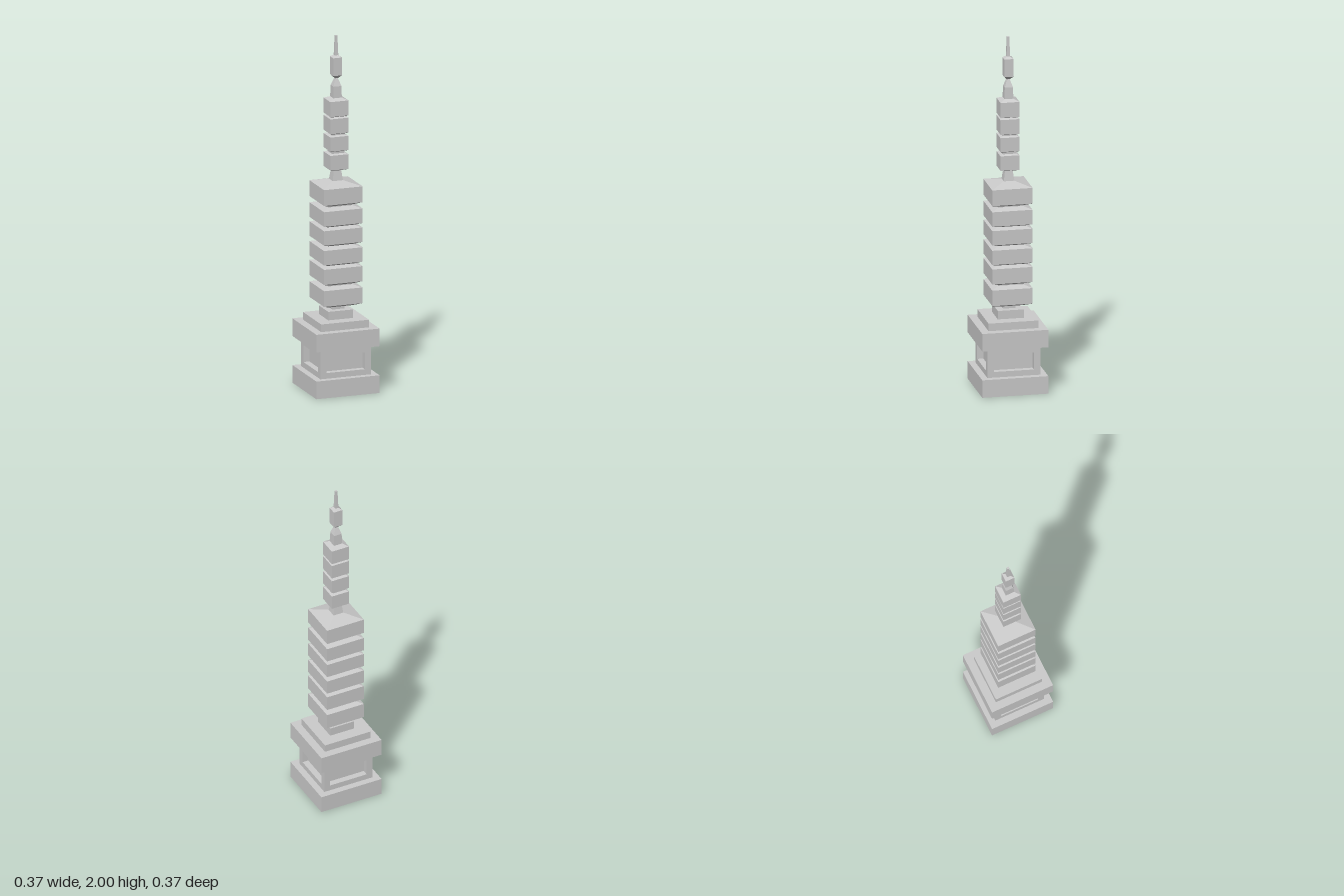
import * as THREE from 'three';

export function createModel() {
  const model = new THREE.Group();
  const material = new THREE.MeshStandardMaterial({ color: 0xcccccc, flatShading: true });

  function add(name, geometry, parent = model) {
    const mesh = new THREE.Mesh(geometry, material);
    mesh.name = name;
    parent.add(mesh);
    return mesh;
  }

  // Square turned solid from [half width, height] pairs, bottom to top
  function squareTurned(name, profile) {
    const points = profile.map(([half, y]) => new THREE.Vector2(half * Math.SQRT2, y));
    const geometry = new THREE.LatheGeometry(points, 4, Math.PI / 4).toNonIndexed();
    geometry.computeVertexNormals();
    return add(name, geometry);
  }

  function slab(name, half, y0, y1) {
    const mesh = add(name, new THREE.BoxGeometry(half * 2, y1 - y0, half * 2));
    mesh.position.y = (y0 + y1) / 2;
  }

  // Pedestal
  slab('plinth', 0.185, 0, 0.1);
  slab('pedestalCore', 0.113, 0.1, 0.265);
  slab('pedestalCap', 0.185, 0.265, 0.365);
  slab('lowerStep', 0.14, 0.365, 0.408);
  slab('upperStep', 0.073, 0.408, 0.456);

  // Frames around the recessed panels; side frames fit between front and back
  const half = 0.148, depth = 0.035;
  for (let i = 0; i < 4; i++) {
    const w = i % 2 ? half - depth : half;
    const frame = new THREE.Shape([
      new THREE.Vector2(-w, 0.1), new THREE.Vector2(w, 0.1),
      new THREE.Vector2(w, 0.265), new THREE.Vector2(-w, 0.265),
    ]);
    const px = 0.1125;
    frame.holes.push(new THREE.Path([
      new THREE.Vector2(-px, 0.132), new THREE.Vector2(-px, 0.228),
      new THREE.Vector2(px, 0.228), new THREE.Vector2(px, 0.132),
    ]));
    const geometry = new THREE.ExtrudeGeometry(frame, { depth, bevelEnabled: false });
    geometry.translate(0, 0, half - depth);
    add('panelFrame', geometry).rotation.y = i * Math.PI / 2;
  }

  // Main tower: [wall bottom, wall top] of each tier, with sloped undersides and roofs
  const towerTiers = [[0.498, 0.587], [0.622, 0.708], [0.733, 0.815],
    [0.845, 0.927], [0.952, 1.035], [1.07, 1.16]];
  const tower = [[0, 0.456], [0.035, 0.456], [0.035, 0.476]];
  towerTiers.forEach(([y0, y1], i) => {
    const last = i === towerTiers.length - 1;
    tower.push([0.07, y0 - 0.018], [0.113, y0], [0.113, y1]);
    tower.push(last ? [0.03, 1.182] : [0.07, y1 + 0.012]);
  });
  tower.push([0, 1.182]);
  squareTurned('towerTiers', tower);

  // Upper spire: tapered neck and four narrow tiers
  const spire = [[0, 1.18], [0.03, 1.18], [0.022, 1.238]];
  const spireTiers = [[1.25, 1.333], [1.357, 1.437], [1.456, 1.54], [1.553, 1.638]];
  spireTiers.forEach(([y0, y1], i) => {
    spire.push([0.037, y0 - 0.007], [0.053, y0], [0.053, y1]);
    spire.push([i === 3 ? 0.025 : 0.037, y1 + (i === 3 ? 0.012 : 0.006)]);
  });
  spire.push([0, 1.65]);
  squareTurned('spireTiers', spire);

  // Finial: pedestal, waist, block and thin needle
  squareTurned('finial', [[0, 1.645], [0.025, 1.645], [0.023, 1.715], [0.008, 1.758],
    [0.026, 1.776], [0.026, 1.877], [0.01, 1.888], [0.006, 2], [0, 2]]);

  return model;
}
